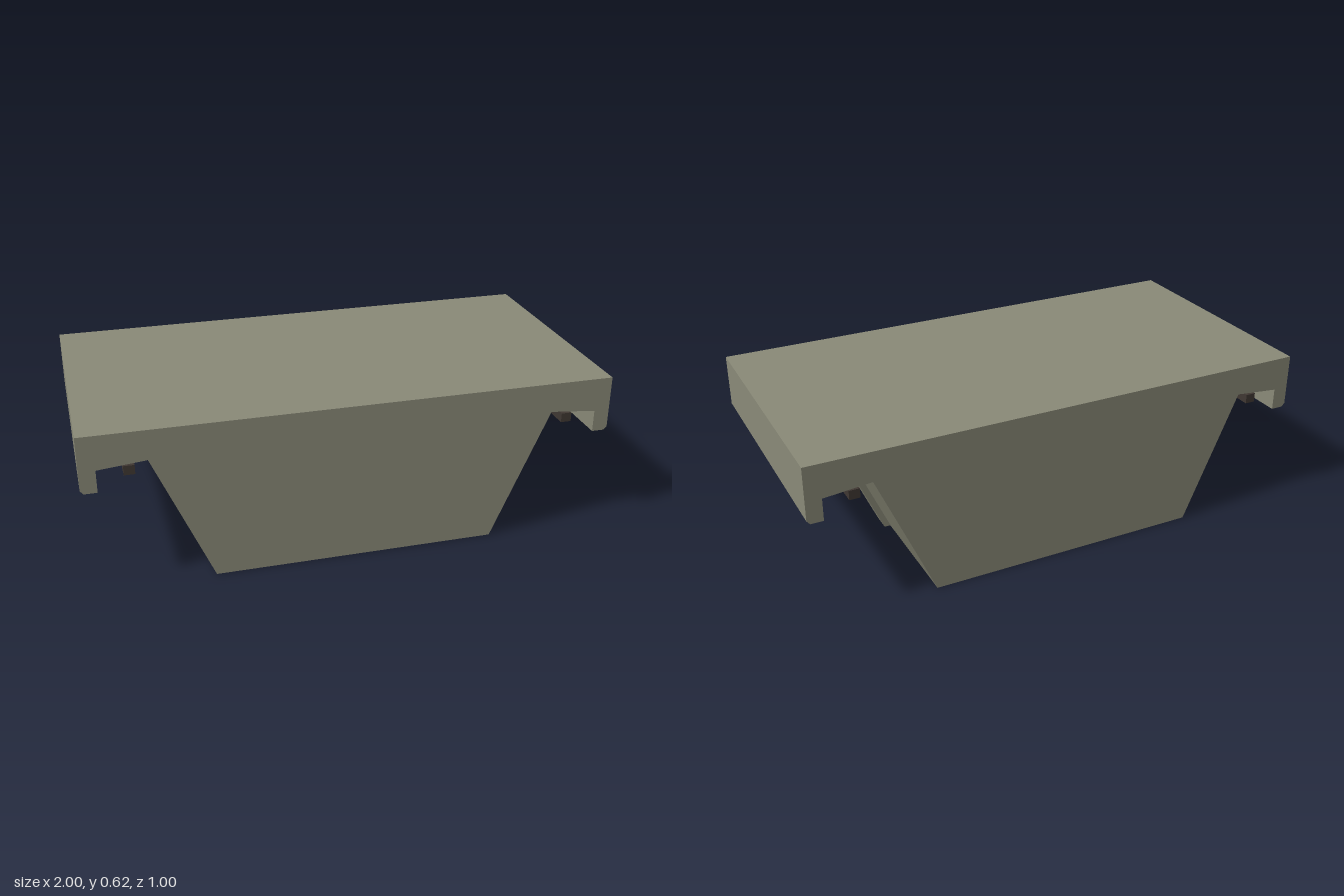
import * as THREE from 'three';

const olive = new THREE.MeshStandardMaterial({ color: 0x8a8a78 });
olive.name = 'olive';
const darkBrown = new THREE.MeshStandardMaterial({ color: 0x403833 });
darkBrown.name = 'dark brown';

// Extrude an x/y outline along z, centred on z = 0
function prism(name, points, depth, material) {
  const shape = new THREE.Shape(points.map(([x, y]) => new THREE.Vector2(x, y)));
  const geometry = new THREE.ExtrudeGeometry(shape, { depth, bevelEnabled: false });
  geometry.translate(0, 0, -depth / 2);
  const mesh = new THREE.Mesh(geometry, material);
  mesh.name = name;
  return mesh;
}

export function createModel() {
  const model = new THREE.Group();
  model.name = 'trapezoidalBlock';

  // Body: tapered trough, overhanging deck and hooked lips in one section
  const half = [
    [0.54, 0], [0.76, 0.505], [0.94, 0.488], [0.94, 0.402],
    [0.988, 0.402], [1, 0.416], [1, 0.62],
  ];
  const mirrored = half.map(([x, y]) => [-x, y]).reverse();
  model.add(prism('body', [...half, ...mirrored], 1, olive));

  for (const side of [1, -1]) {
    // Rib running up the middle of each sloping side
    const rib = [[0.535, 0.01], [0.569, 0.01], [0.785, 0.503], [0.75, 0.503]];
    model.add(prism(side > 0 ? 'leftRib' : 'rightRib',
      rib.map(([x, y]) => [x * side, y]), 0.078, olive));

    // Square rail below each overhang
    const rail = new THREE.Mesh(new THREE.BoxGeometry(0.04, 0.036, 0.99), darkBrown);
    rail.name = side > 0 ? 'leftRail' : 'rightRail';
    rail.position.set(0.826 * side, 0.472, 0);
    model.add(rail);
  }
  return model;
}
